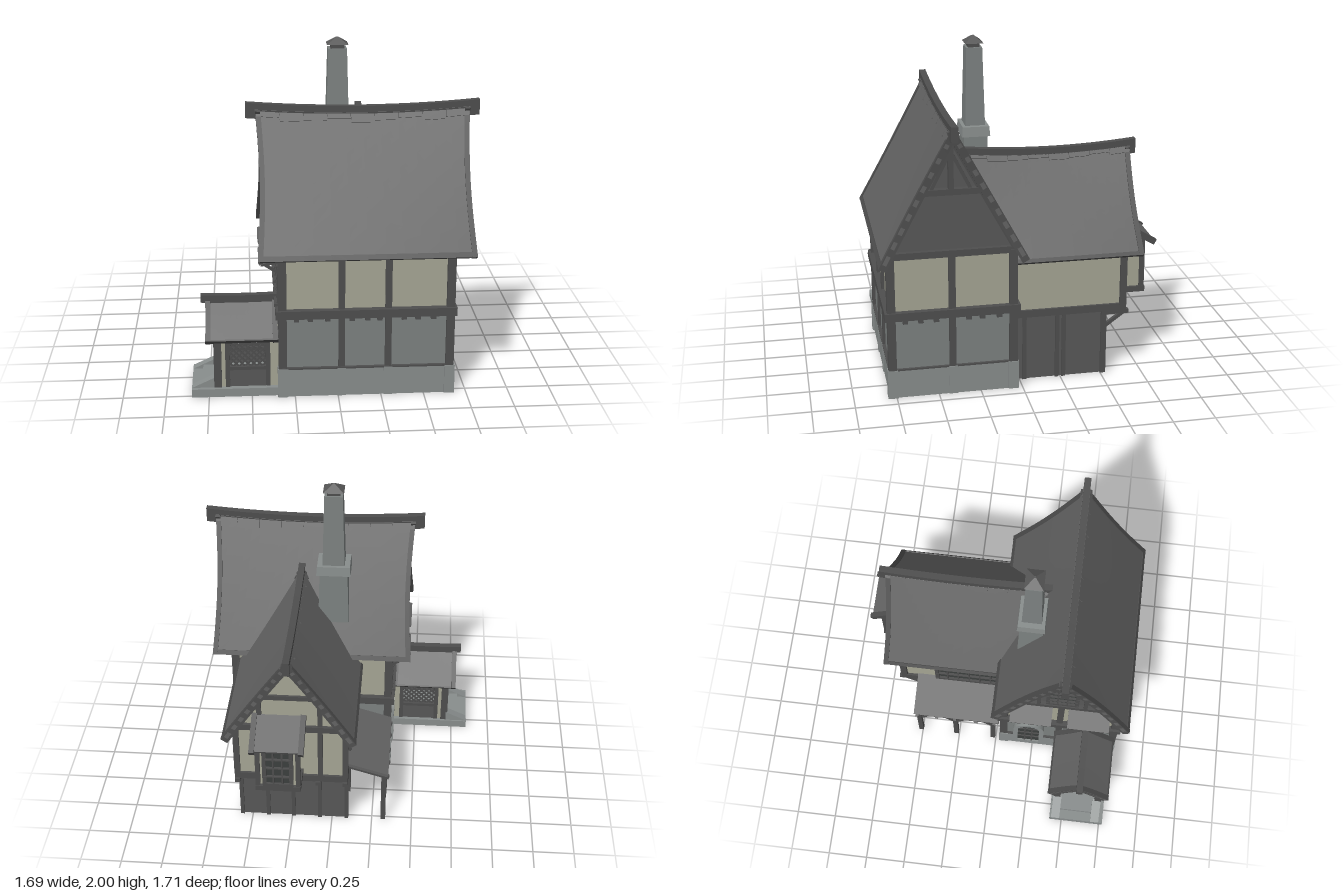
import * as THREE from 'three';

export function createModel() {
  const house = new THREE.Group();
  house.name = 'house';
  const mat = (name, color) => Object.assign(new THREE.MeshStandardMaterial({ color }), { name });
  const roofing = mat('roof tiles', 0x626262), wood = mat('dark timber', 0x4e4e4e), planks = mat('planks', 0x585858);
  const plaster = mat('plaster', 0xa5a594), stone = mat('wall stone', 0x7c8180), base = mat('base stone', 0x888d8c);
  const glass = mat('window glass', 0x3c3f3e);

  const add = (name, geo, m, parent = house) => {
    const mesh = new THREE.Mesh(geo, m);
    mesh.name = name;
    parent.add(mesh);
    return mesh;
  };
  // Box given by its limits
  const box = (name, m, x0, x1, y0, y1, z0, z1, parent) => {
    const mesh = add(name, new THREE.BoxGeometry(x1 - x0, y1 - y0, z1 - z0), m, parent);
    mesh.position.set((x0 + x1) / 2, (y0 + y1) / 2, (z0 + z1) / 2);
    return mesh;
  };
  // Straight timber between two points
  const beam = (name, m, a, b, w, h, parent = house) => {
    const p = new THREE.Vector3(...a), q = new THREE.Vector3(...b);
    const mesh = new THREE.Mesh(new THREE.BoxGeometry(w, h, p.distanceTo(q)), m);
    mesh.name = name;
    mesh.position.copy(p).lerp(q, 0.5);
    mesh.lookAt(q);
    parent.add(mesh);
  };
  // Box whose top has another size than its bottom
  const taper = (name, m, x, z, y0, y1, w0, d0, w1, d1) => {
    const g = new THREE.BoxGeometry(1, y1 - y0, 1), p = g.attributes.position;
    for (let i = 0; i < p.count; i++) {
      const top = p.getY(i) > 0;
      p.setX(i, p.getX(i) * (top ? w1 : w0));
      p.setZ(i, p.getZ(i) * (top ? d1 : d0));
    }
    g.computeVertexNormals();
    add(name, g, m).position.set(x, (y0 + y1) / 2, z);
  };
  // Flat outline extruded along z
  const prism = (name, m, pts, depth, parent) => add(name, new THREE.ExtrudeGeometry(
    new THREE.Shape(pts.map(p => new THREE.Vector2(...p))), { depth, bevelEnabled: false }), m, parent);

  // Sagging pitched roof, ridge along local x
  const roof = (name, { half, w, ridge, eave, sag, pinch, over, tiles, beamH }) => {
    const g = new THREE.Group();
    g.name = name;
    const len = Math.hypot(w, ridge - eave), ny = w / len, nz = (ridge - eave) / len;
    const piece = (label, m, parent, u0, u1, v0, v1, h0, h1) => {
      const geo = new THREE.BoxGeometry(1, 1, 1, 12, 1, 10), p = geo.attributes.position;
      for (let i = 0; i < p.count; i++) {
        const u = u0 + (u1 - u0) * (p.getX(i) + 0.5), v = v0 + (v1 - v0) * (p.getZ(i) + 0.5);
        const h = h0 + (h1 - h0) * (p.getY(i) + 0.5);
        p.setXYZ(i, u * (half - pinch * Math.sin(Math.PI * v)),
          ridge - sag * (1 - u * u) * (1 - v) - (ridge - eave) * v + h * ny, w * v + h * nz);
      }
      geo.computeVertexNormals();
      add(label, geo, m, parent);
    };
    for (const turn of [0, Math.PI]) {
      const slope = new THREE.Group();
      slope.name = 'roofSlope';
      slope.rotation.y = turn;
      g.add(slope);
      const edge = 0.03 / half;
      piece('tiles', roofing, slope, -1, 1, 0, 1, -0.025, 0);
      for (const s of [-1, 1]) piece('bargeBoard', wood, slope, s > 0 ? 1 - edge : -1, s > 0 ? 1 : edge - 1, 0, 1.01, -0.04, 0.007);
      piece('eaveBoard', wood, slope, -1, 1, 0.975, 1.01, -0.03, 0.005);
      for (let i = 0; i < tiles; i++)
        piece('ridgeTile', roofing, slope, -1 + 2 * i / tiles, -1 + 2 * (i + 0.98) / tiles, 0, 0.065 + 0.012 * ((i * 5) % 3), 0, 0.008);
    }
    const rb = new THREE.BoxGeometry(2 * (half + over), beamH, 0.04, 14, 1, 1), p = rb.attributes.position;
    for (let i = 0; i < p.count; i++) {
      const u = p.getX(i) / half;
      p.setY(i, p.getY(i) + ridge - sag * (1 - u * u) - beamH / 2 + 0.025);
    }
    rb.computeVertexNormals();
    add('ridgeBeam', rb, wood, g);
    house.add(g);
    return g;
  };

  // Framed window facing local +z
  const windowAt = (name, x, y, z, turn, w, h, cols, rows) => {
    const g = new THREE.Group();
    g.name = name;
    g.position.set(x, y, z);
    g.rotation.y = turn;
    house.add(g);
    box('pane', glass, -w / 2, w / 2, -h / 2, h / 2, 0, 0.008, g);
    for (let i = 0; i <= cols; i++) {
      const t = i % cols ? 0.005 : 0.012, c = -w / 2 + w * i / cols;
      box('windowBar', wood, c - t, c + t, -h / 2, h / 2, 0, 0.02, g);
    }
    for (let i = 0; i <= rows; i++) {
      const t = i % rows ? 0.004 : 0.012, c = -h / 2 + h * i / rows;
      box('windowRail', wood, -w / 2 - 0.01, w / 2 + 0.01, c - t, c + t, 0, 0.022, g);
    }
    return g;
  };
  const LEFT = -Math.PI / 2;

  // Main block
  box('stoneBase', base, -0.345, 0.67, 0, 0.17, 0.035, 0.79);
  box('groundFloor', stone, -0.33, 0.655, 0.17, 0.5, 0.05, 0.775);
  box('upperFloor', plaster, -0.325, 0.65, 0.5, 0.9, 0.05, 0.77);
  const post = (x, z, wide) => {
    box('basePier', base, x - wide - 0.006, x + wide + 0.006, 0, 0.175, z - wide - 0.006, z + wide + 0.006);
    box('post', wood, x - wide, x + wide, 0.175, 0.88, z - wide, z + wide);
  };
  for (const x of [-0.32, 0.02, 0.29, 0.65])
    for (const z of [0.055, 0.77]) post(x, z, x < 0 || x > 0.6 ? 0.024 : 0.019);
  for (const x of [-0.325, 0.65]) post(x, 0.415, 0.02);
  for (const [y0, y1] of [[0.17, 0.18], [0.49, 0.54], [0.86, 0.9]]) {
    const o = y0 === 0.49 ? 0.015 : 0;
    for (const z of [0.055, 0.77]) box('wallBeam', wood, -0.345 - o, 0.67 + o, y0, y1, z - 0.024 - o, z + 0.024 + o);
    for (const x of [-0.32, 0.645]) box('wallBeam', wood, x - 0.025 - o, x + 0.025 + o, y0, y1, 0.03, 0.795);
  }
  for (const x of [-0.24, -0.16, -0.06, 0.08, 0.17, 0.24, 0.38, 0.46, 0.55])
    box('joistEnd', wood, x - 0.015, x + 0.015, 0.468, 0.495, 0.74, 0.795);
  for (const z of [0.14, 0.24, 0.32, 0.51, 0.6, 0.69])
    for (const x of [-0.335, 0.66]) box('joistEnd', wood, x - 0.02, x + 0.02, 0.468, 0.495, z - 0.015, z + 0.015);

  // Main gables
  const gable = prism('mainGable', planks, [[-0.375, 0.89], [0.375, 0.89], [0, 1.56]], 0.96);
  gable.rotation.y = Math.PI / 2;
  gable.position.set(-0.32, 0, 0.415);
  for (const x of [-0.335, 0.655]) {
    for (const s of [-1, 1]) {
      beam('gableRafter', wood, [x, 0.9, 0.415 + s * 0.365], [x, 1.55, 0.415 + s * 0.012], 0.04, 0.035);
      beam('gableStrut', wood, [x, 1.25, 0.415 + s * 0.12], [x, 1.47, 0.415 + s * 0.01], 0.03, 0.02);
    }
    box('collarBeam', wood, x - 0.02, x + 0.025, 1.235, 1.27, 0.24, 0.59);
    box('kingPost', wood, x - 0.02, x + 0.025, 1.27, 1.58, 0.4, 0.43);
  }
  const mainRoof = roof('mainRoof', { half: 0.62, w: 0.42, ridge: 1.645, eave: 0.865, sag: 0.025, pinch: 0.02, over: 0.055, tiles: 9, beamH: 0.09 });
  mainRoof.position.set(0.165, 0, 0.415);

  // Rear wing, its upper floor jutting out at the back
  box('wingGroundFloor', planks, -0.09, 0.565, 0, 0.42, -0.52, 0.1);
  box('wingUpperFloor', plaster, -0.09, 0.565, 0.44, 0.82, -0.635, 0.1);
  box('wingFloorBeam', wood, -0.105, 0.58, 0.405, 0.45, -0.65, 0.05);
  for (const x of [-0.09, 0.565]) {
    for (const z of [-0.51, -0.27, -0.23, -0.03]) box('wallBatten', wood, x - 0.012, x + 0.012, 0, 0.41, z - 0.012, z + 0.012);
    box('wingCornerPost', wood, x - 0.018, x + 0.018, 0.44, 0.8, -0.65, -0.61);
    box('wingTopPlate', wood, x - 0.015, x + 0.015, 0.785, 0.82, -0.65, 0.05);
  }
  for (const x of [-0.09, 0.075, 0.24, 0.4, 0.565]) {
    box('wallBatten', wood, x - 0.012, x + 0.012, 0, 0.41, -0.532, -0.5);
    box('overhangJoist', wood, x - 0.015, x + 0.015, 0.385, 0.41, -0.665, -0.5);
    beam('overhangBracket', wood, [x, 0.31, -0.525], [x, 0.395, -0.64], 0.022, 0.02);
  }
  prism('wingGable', plaster, [[-0.345, 0.8], [0.345, 0.8], [0, 1.28]], 0.7).position.set(0.24, 0, -0.635);
  box('wingTieBeam', wood, -0.11, 0.59, 0.79, 0.83, -0.655, -0.62);
  box('wingCollar', wood, 0.08, 0.4, 1.02, 1.05, -0.65, -0.62);
  for (const s of [-1, 1]) {
    beam('wingRafter', wood, [0.24 + s * 0.34, 0.81, -0.64], [0.24 + s * 0.01, 1.27, -0.64], 0.035, 0.035);
    box('gableStud', wood, 0.24 + s * 0.18 - 0.015, 0.24 + s * 0.18 + 0.015, 0.45, 1.03, -0.65, -0.62);
  }
  const wingRoof = roof('wingRoof', { half: 0.5, w: 0.39, ridge: 1.35, eave: 0.78, sag: 0.025, pinch: 0.012, over: 0.035, tiles: 8, beamH: 0.09 });
  wingRoof.position.set(0.24, 0, -0.235);
  wingRoof.rotation.y = Math.PI / 2;
  windowAt('wingSideWindow', -0.09, 0.61, -0.2, LEFT, 0.42, 0.27, 6, 3);

  // Oriel bay at the back
  box('orielBody', plaster, 0.18, 0.42, 0.47, 0.83, -0.785, -0.63);
  box('orielSill', wood, 0.165, 0.435, 0.455, 0.49, -0.805, -0.63);
  box('orielHead', wood, 0.17, 0.43, 0.77, 0.8, -0.8, -0.63);
  for (const x of [0.18, 0.42]) {
    box('orielPost', wood, x - 0.014, x + 0.014, 0.48, 0.8, -0.8, -0.77);
    beam('orielBarge', wood, [x + (x - 0.3) * 0.2, 0.905, -0.64], [x + (x - 0.3) * 0.2, 0.78, -0.855], 0.032, 0.035);
  }
  beam('orielRoof', roofing, [0.3, 0.9, -0.64], [0.3, 0.785, -0.845], 0.27, 0.02);
  windowAt('orielWindow', 0.3, 0.63, -0.786, Math.PI, 0.16, 0.26, 3, 4);

  // Lean-to shelter along the wing
  beam('shelterRoof', roofing, [-0.07, 0.46, -0.26], [-0.345, 0.375, -0.26], 0.56, 0.02);
  box('shelterEaveBeam', wood, -0.335, -0.305, 0.33, 0.362, -0.53, 0.02);
  for (const z of [-0.52, -0.39, -0.27, -0.13, -0.01])
    beam('shelterRafter', wood, [-0.08, 0.437, z], [-0.352, 0.352, z], 0.02, 0.025);
  for (const z of [-0.51, -0.27, -0.02]) {
    box('shelterPost', wood, -0.335, -0.305, 0, 0.34, z - 0.015, z + 0.015);
    for (const s of [-1, 1]) if (Math.abs(z + 0.27 + s * 0.12) < 0.25)
      beam('shelterBrace', wood, [-0.32, 0.25, z], [-0.32, 0.335, z + s * 0.08], 0.018, 0.018);
  }

  // Left side windows with small canopies
  for (const z of [0.23, 0.59]) {
    windowAt('upperWindow', -0.328, 0.66, z, LEFT, 0.22, 0.22, 4, 3);
    beam('windowCanopy', roofing, [-0.33, 0.84, z], [-0.45, 0.8, z], 0.26, 0.016);
    for (const s of [-0.11, 0.11]) {
      beam('canopyArm', wood, [-0.33, 0.805, z + s], [-0.44, 0.79, z + s], 0.015, 0.018);
      beam('canopyBrace', wood, [-0.34, 0.74, z + s], [-0.42, 0.792, z + s], 0.015, 0.015);
    }
    box('windowSill', wood, -0.365, -0.32, 0.535, 0.555, z - 0.13, z + 0.13);
  }
  windowAt('gableWindow', -0.322, 1.06, 0.415, LEFT, 0.18, 0.26, 3, 4);
  for (const z of [0.27, 0.56]) box('gableStud', wood, -0.345, -0.31, 0.9, 1.25, z - 0.012, z + 0.012);

  // Arched opening in the ground floor
  const arch = (w, spring) => {
    const s = new THREE.Shape();
    s.moveTo(-w, 0); s.lineTo(w, 0); s.lineTo(w, spring);
    s.absarc(0, spring, w, 0, Math.PI);
    return s;
  };
  const surround = arch(0.1, 0.24);
  surround.holes.push(new THREE.Path(arch(0.07, 0.24).getPoints(12)));
  const archAt = (name, m, geo, x) => {
    const mesh = add(name, geo, m);
    mesh.position.set(x, 0.11, 0.22);
    mesh.rotation.y = LEFT;
  };
  archAt('archSurround', base, new THREE.ExtrudeGeometry(surround, { depth: 0.04, bevelEnabled: false }), -0.32);
  archAt('archPane', glass, new THREE.ExtrudeGeometry(arch(0.07, 0.24), { depth: 0.008, bevelEnabled: false }), -0.342);
  for (const z of [0.197, 0.243]) box('archBar', wood, -0.357, -0.34, 0.11, 0.4, z - 0.005, z + 0.005);
  for (const y of [0.2, 0.28, 0.36]) box('archBar', wood, -0.357, -0.34, y - 0.005, y + 0.005, 0.15, 0.29);

  // Chimney
  taper('chimneyBase', stone, 0.033, 0.18, 0.9, 1.41, 0.2, 0.16, 0.17, 0.14);
  taper('chimneyCollar', base, 0.033, 0.18, 1.405, 1.465, 0.21, 0.17, 0.2, 0.16);
  taper('chimneyStack', stone, 0.033, 0.18, 1.46, 1.935, 0.135, 0.12, 0.11, 0.095);
  taper('chimneyPot', wood, 0.033, 0.18, 1.93, 1.965, 0.08, 0.07, 0.08, 0.07);
  taper('chimneyCap', planks, 0.033, 0.18, 1.96, 2, 0.125, 0.11, 0.01, 0.01);

  // Entrance porch
  box('porchFloor', base, -0.85, -0.34, 0, 0.05, 0.42, 0.77);
  box('porchStep', base, -0.79, -0.34, 0.05, 0.075, 0.45, 0.73);
  for (const z of [0.43, 0.69])
    prism('stepCheek', base, [[-0.85, 0.05], [-0.71, 0.05], [-0.71, 0.115]], 0.055).position.z = z;
  for (const z of [0.455, 0.725]) {
    const o = 0.012;
    box('porchPost', wood, -0.72, -0.675, 0.05, 0.37, z - 0.022, z + 0.022);
    box('porchPlate', wood, -0.75, -0.34, 0.335, 0.37, z - 0.02, z + 0.02);
    box('porchLowerPanel', planks, -0.64, -0.4, 0.05, 0.17, z - o, z + o);
    for (const [x0, x1] of [[-0.68, -0.64], [-0.4, -0.34]]) box('porchWall', plaster, x0, x1, 0.05, 0.34, z - 0.01, z + 0.01);
    for (const x of [-0.64, -0.405]) box('porchStud', wood, x - 0.013, x + 0.013, 0.05, 0.34, z - 0.018, z + 0.018);
    box('latticeSill', wood, -0.64, -0.4, 0.155, 0.175, z - 0.018, z + 0.018);
    // Crossed lattice bars clipped to the opening
    const w = 0.21, h = 0.165, x0 = -0.627, y0 = 0.172;
    for (let c = -0.15; c < w; c += 0.034) {
      const a = Math.max(0, -c), b = Math.min(h, w - c);
      for (const f of [x => x0 + x, x => x0 + w - x])
        beam('latticeBar', wood, [f(c + a), y0 + a, z], [f(c + b), y0 + b, z], 0.008, 0.009);
    }
    const s = Math.sign(z - 0.59);
    beam('entranceBrace', wood, [-0.7, 0.25, z], [-0.7, 0.345, z - s * 0.09], 0.025, 0.02);
    beam('porchRafter', wood, [-0.71, 0.36, z + s * 0.02], [-0.71, 0.52, 0.59], 0.03, 0.025);
  }
  box('porchTieBeam', wood, -0.72, -0.685, 0.335, 0.37, 0.43, 0.75);
  box('porchKingPost', wood, -0.72, -0.69, 0.37, 0.52, 0.578, 0.602);
  box('innerDoor', planks, -0.352, -0.34, 0.075, 0.33, 0.52, 0.66);
  const porchRoof = roof('porchRoof', { half: 0.21, w: 0.19, ridge: 0.545, eave: 0.355, sag: 0.004, pinch: 0.003, over: 0.025, tiles: 0, beamH: 0.045 });
  porchRoof.position.set(-0.555, 0, 0.585);
  return house;
}
